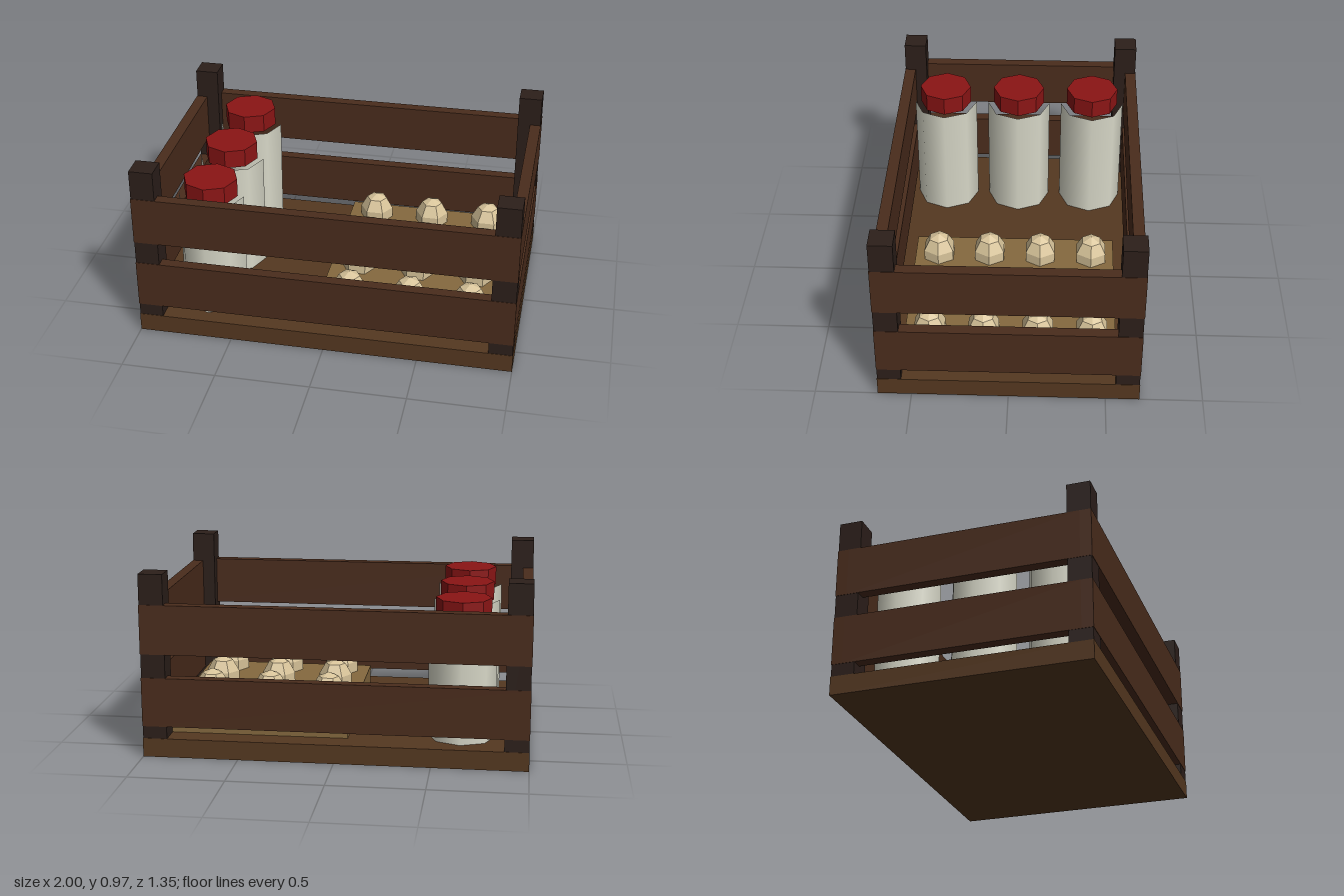
import * as THREE from 'three';

const mat = (color, flatShading = true) => new THREE.MeshStandardMaterial({ color, flatShading });

export function createModel() {
  const root = new THREE.Group();
  root.name = 'crate';
  const floorMat = mat(0x553820), slatMat = mat(0x4a2c1c), postMat = mat(0x2c1f1a);
  const trayMat = mat(0x85693f), eggMat = mat(0xd8c49a);
  const bottleMat = mat(0xd8d8c8, false), capMat = mat(0x8b1515);

  const add = (name, geometry, material, x, y, z) => {
    const mesh = new THREE.Mesh(geometry, material);
    mesh.name = name;
    mesh.position.set(x, y, z);
    root.add(mesh);
    return mesh;
  };
  // Box given by its base height and top height
  const box = (name, material, w, d, y0, y1, x, z) =>
    add(name, new THREE.BoxGeometry(w, y1 - y0, d), material, x, (y0 + y1) / 2, z);

  box('floor', floorMat, 2, 1.35, 0, 0.1, 0, 0);

  // Corner posts, set a hair behind the slat faces
  for (const sx of [-1, 1])
    for (const sz of [-1, 1])
      box('cornerPost', postMat, 0.126, 0.123, 0.1, 0.97, sx * 0.935, sz * 0.6115);

  // Two rows of slats on all four sides
  for (const [y0, y1] of [[0.165, 0.425], [0.55, 0.81]])
    for (const s of [-1, 1]) {
      box('longSlat', slatMat, 2, 0.06, y0, y1, 0, s * 0.645);
      box('endSlat', slatMat, 0.06, 1.23, y0, y1, s * 0.97, 0);
    }

  // Egg tray with a grid of eggs
  box('eggTray', trayMat, 0.96, 1.1, 0.1, 0.2, 0.42, 0);
  const egg = new THREE.SphereGeometry(0.096, 6, 5).scale(1, 1.3, 1);
  for (let i = 0; i < 3; i++)
    for (let j = 0; j < 4; j++)
      add('egg', egg, eggMat, 0.095 + i * 0.323, 0.22, -0.425 + j * 0.281);

  // Bottles with open-topped bodies and red caps
  const body = new THREE.CylinderGeometry(0.177, 0.177, 0.64, 8, 1, true);
  const cap = new THREE.CylinderGeometry(0.144, 0.144, 0.1, 8);
  for (const z of [-0.42, 0, 0.42]) {
    add('bottleBody', body, bottleMat, -0.645, 0.42, z);
    add('bottleCap', cap, capMat, -0.645, 0.79, z);
  }
  return root;
}
